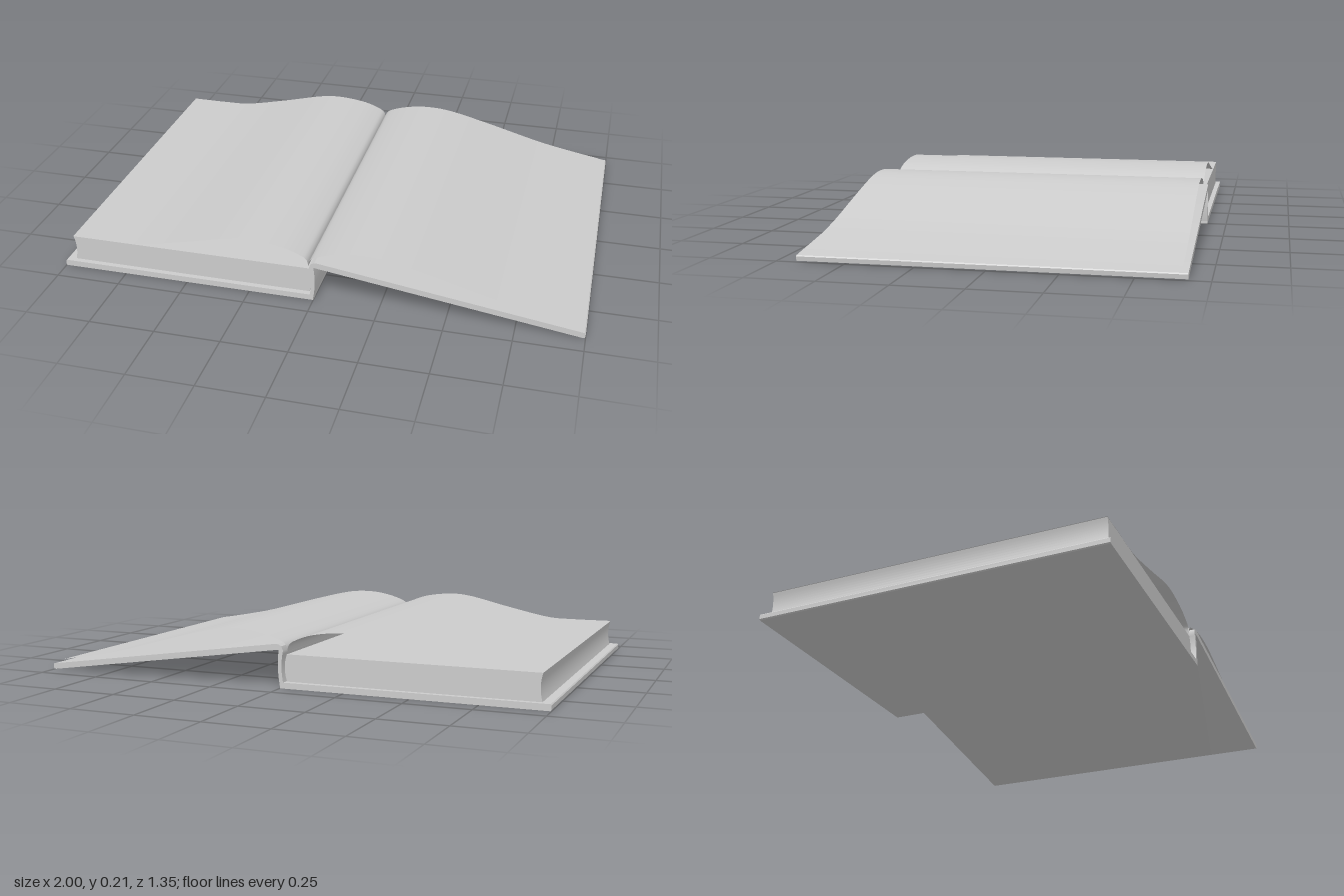
import * as THREE from 'three';
import { toCreasedNormals } from 'three/addons/utils/BufferGeometryUtils.js';

const COVER_DEPTH = 1.35;
const PAGE_DEPTH = 1.31;

export function createModel() {
  const book = new THREE.Group();
  book.name = 'openBook';
  const material = new THREE.MeshStandardMaterial({ color: 0xcccccc });
  const sheetMaterial = new THREE.MeshStandardMaterial({ color: 0xcccccc, side: THREE.DoubleSide });

  function add(name, geometry, mat = material) {
    const mesh = new THREE.Mesh(geometry, mat);
    mesh.name = name;
    book.add(mesh);
  }

  // Extrudes an x/y profile along z, centred, keeping sharp corners
  function slab(name, shape, depth) {
    const geometry = new THREE.ExtrudeGeometry(shape, { depth, bevelEnabled: false, curveSegments: 10 });
    geometry.translate(0, 0, -depth / 2);
    add(name, toCreasedNormals(geometry, 0.6));
  }

  const polygon = (points) => new THREE.Shape(points.map(([x, y]) => new THREE.Vector2(x, y)));

  // Boards: one flat on the ground, one sloping down from the spine
  slab('leftCover', polygon([[-1, 0.004], [-0.996, 0], [0, 0], [0, 0.022], [-0.996, 0.024], [-1, 0.02]]), COVER_DEPTH);
  slab('rightCover', polygon([[0, 0.143], [0.99, 0.002], [0.998, 0.004], [1, 0.02], [0.996, 0.024], [0.012, 0.164], [0, 0.16]]), COVER_DEPTH);

  // Spine, bowed slightly outwards
  const spine = new THREE.Shape();
  spine.moveTo(-0.002, 0);
  spine.quadraticCurveTo(0.014, 0.075, 0.002, 0.15);
  spine.lineTo(0.006, 0.163);
  spine.lineTo(-0.008, 0.156);
  spine.lineTo(-0.014, 0.14);
  spine.quadraticCurveTo(0, 0.075, -0.016, 0.01);
  spine.closePath();
  slab('spine', spine, COVER_DEPTH);

  // Page block with hollow fore edge and rounded back
  const block = new THREE.Shape();
  block.moveTo(-0.965, 0.023);
  block.lineTo(-0.02, 0.023);
  block.quadraticCurveTo(-0.002, 0.075, -0.02, 0.124);
  block.lineTo(-0.965, 0.124);
  block.quadraticCurveTo(-0.95, 0.075, -0.965, 0.023);
  slab('pageBlock', block, PAGE_DEPTH);

  // Thin curling sheets that meet in the gutter
  function sheet(name, points) {
    const curve = new THREE.SplineCurve(points.map(([x, y]) => new THREE.Vector2(x, y)));
    const steps = 48;
    const profile = curve.getPoints(steps);
    const geometry = new THREE.PlaneGeometry(1, PAGE_DEPTH, steps, 1).rotateX(-Math.PI / 2);
    const position = geometry.attributes.position;
    for (let i = 0; i < position.count; i++) {
      const p = profile[i % (steps + 1)];
      position.setXYZ(i, p.x, p.y, position.getZ(i));
    }
    geometry.computeVertexNormals();
    add(name, geometry, sheetMaterial);
  }

  sheet('leftPage', [[-0.965, 0.126], [-0.8, 0.125], [-0.685, 0.13], [-0.5, 0.168], [-0.33, 0.207],
    [-0.23, 0.214], [-0.12, 0.2], [-0.05, 0.175], [-0.028, 0.158], [-0.022, 0.135]]);
  sheet('rightPage', [[-0.022, 0.135], [-0.016, 0.158], [0.01, 0.176], [0.08, 0.197], [0.17, 0.208],
    [0.28, 0.2], [0.45, 0.159], [0.68, 0.096], [0.82, 0.066], [0.965, 0.04]]);

  return book;
}
